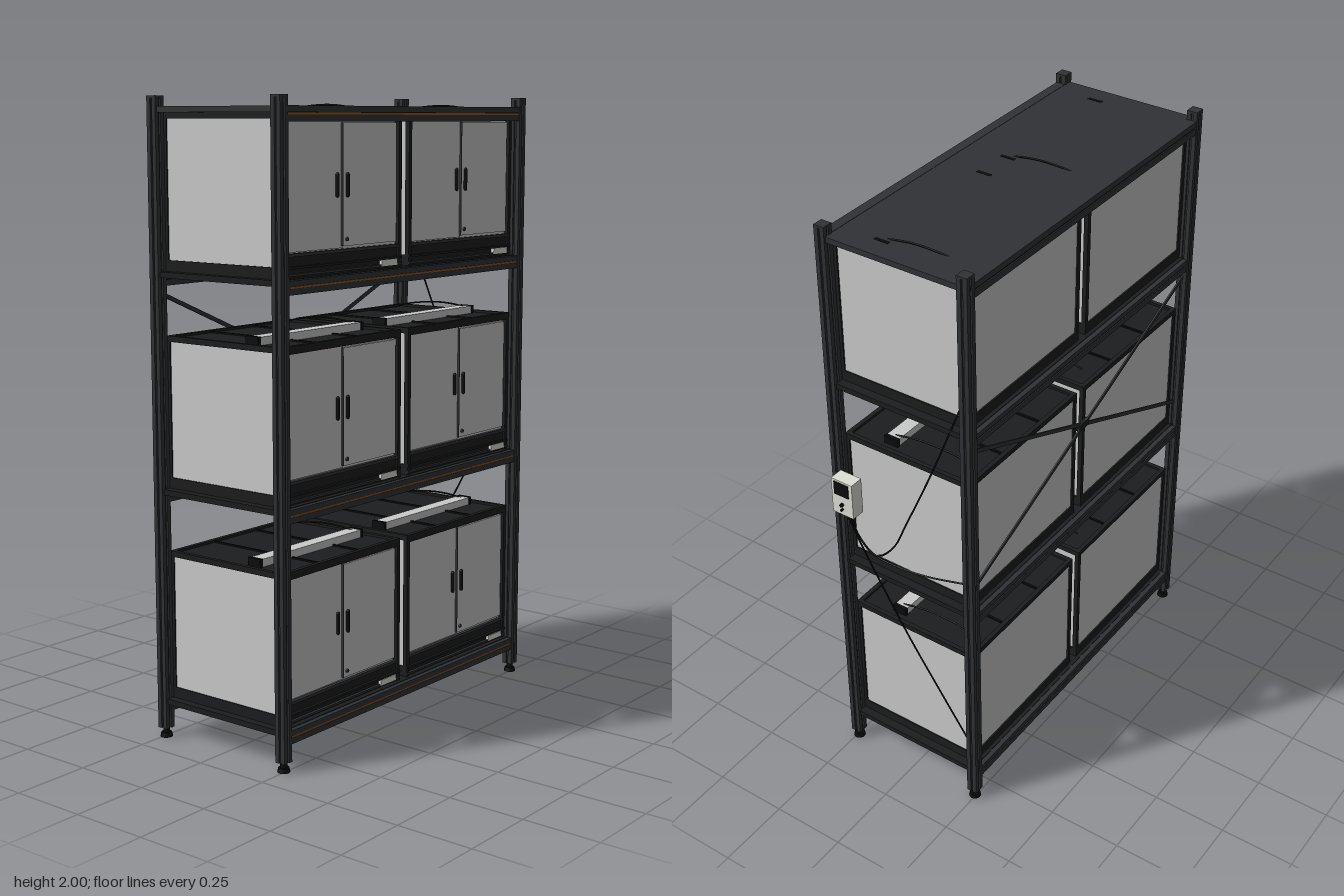
import * as THREE from 'three';

const mat = (color) => new THREE.MeshStandardMaterial({ color });
const FRAME = mat(0x303235), DARK = mat(0x1c1d1e), BLACK = mat(0x0c0c0c);
const GREY = mat(0xcccccc), PALE = mat(0xe0e0da), ORANGE = mat(0x9a5518);

const X0 = -0.646, X1 = 0.58, XM = (X0 + X1) / 2, ZP = 0.245, POST = 0.036;

function add(parent, name, geo, material, x = 0, y = 0, z = 0) {
  const m = new THREE.Mesh(geo, material);
  m.name = name;
  m.position.set(x, y, z);
  parent.add(m);
  return m;
}

// box given by its min and max on each axis
function box(parent, name, material, x0, x1, y0, y1, z0, z1) {
  return add(parent, name, new THREE.BoxGeometry(x1 - x0, y1 - y0, z1 - z0), material,
    (x0 + x1) / 2, (y0 + y1) / 2, (z0 + z1) / 2);
}

function cable(parent, name, points, r = 0.003) {
  const curve = new THREE.CatmullRomCurve3(points.map((p) => new THREE.Vector3(...p)));
  return add(parent, name, new THREE.TubeGeometry(curve, 40, r, 6), BLACK);
}

// square section with a slot in the middle of each side
function slottedGeometry(size, length) {
  const h = size / 2, s = size * 0.1, d = size * 0.16, shape = new THREE.Shape();
  const side = [[-h, -h], [-s, -h], [-s, -h + d], [s, -h + d], [s, -h]];
  for (let k = 0; k < 4; k++) {
    const c = Math.round(Math.cos(k * Math.PI / 2)), n = Math.round(Math.sin(k * Math.PI / 2));
    side.forEach(([x, y], i) => {
      const px = x * c - y * n, py = x * n + y * c;
      if (k + i === 0) shape.moveTo(px, py); else shape.lineTo(px, py);
    });
  }
  return new THREE.ExtrudeGeometry(shape, { depth: length, bevelEnabled: false });
}

function createPost(x, z) {
  const g = new THREE.Group();
  g.name = 'post';
  g.position.set(x, 0, z);
  add(g, 'upright', slottedGeometry(POST, 1.962), FRAME, 0, 0.03, 0).rotation.x = -Math.PI / 2;
  add(g, 'postCap', new THREE.BoxGeometry(POST, 0.008, POST), FRAME, 0, 1.996, 0);
  add(g, 'footPad', new THREE.CylinderGeometry(0.017, 0.02, 0.014, 20), BLACK, 0, 0.007, 0);
  add(g, 'footStem', new THREE.CylinderGeometry(0.011, 0.011, 0.02, 12), BLACK, 0, 0.022, 0);
  return g;
}

// shelf with front and back beams; y is the beam's underside
function createShelf(y, isTop) {
  const g = new THREE.Group(), h = isTop ? 0.046 : 0.042;
  g.name = 'shelf';
  for (const s of [-1, 1]) {
    const z = s * ZP;
    for (const [a, b] of [[0, 0.44], [0.58, 1]])
      box(g, 'beam', FRAME, X0 + 0.018, X1 - 0.018, y + h * a, y + h * b, z - 0.016, z + 0.016);
    box(g, 'beamCore', DARK, X0 + 0.018, X1 - 0.018, y + h * 0.4, y + h * 0.6, z - 0.012, z + 0.012);
  }
  box(g, 'beamInlay', ORANGE, X0 + 0.018, X1 - 0.018, y + h * 0.44, y + h * 0.56, ZP, ZP + 0.0145);
  if (isTop) box(g, 'topPanel', FRAME, -0.658, 0.592, 1.95, 1.968, -0.259, 0.255);
  else box(g, 'shelfPanel', DARK, X0 - 0.01, X1 + 0.01, y + 0.026, y + h + 0.002, -ZP, ZP);
  return g;
}

// glazed cabinet standing on y = 0
function createCabinet(w) {
  const g = new THREE.Group(), h = 0.475, d = 0.232, e = w / 2, t = 0.015;
  g.name = 'cabinet';
  box(g, 'walls', GREY, -e + 0.004, e - 0.004, 0.02, 0.458, -d + 0.005, d - 0.016);
  for (const sx of [-1, 1]) {
    for (const sz of [-1, 1])
      add(g, 'cornerTrim', new THREE.BoxGeometry(t, h, t), DARK, sx * (e - t / 2), h / 2, sz * (d - t / 2));
    add(g, 'sideSill', new THREE.BoxGeometry(t, 0.034, 2 * d), DARK, sx * (e - t / 2), 0.017, 0);
    add(g, 'sideRim', new THREE.BoxGeometry(t, 0.018, 2 * d), DARK, sx * (e - t / 2), h - 0.009, 0);
  }
  box(g, 'backSill', DARK, -e, e, 0, 0.034, -d, -d + t);
  box(g, 'backRim', DARK, -e, e, h - 0.018, h, -d, -d + t);
  box(g, 'frontRim', DARK, -e, e, h - 0.024, h, d - t, d);

  // stepped base below the doors
  box(g, 'baseBoard', DARK, -e + 0.01, e - 0.01, 0, 0.07, d - 0.03, d - 0.006);
  box(g, 'lowerRail', FRAME, -e, e, 0.006, 0.013, d - 0.01, d + 0.003);
  box(g, 'upperRail', DARK, -e, e, 0.027, 0.034, d - 0.01, d + 0.003);
  box(g, 'doorTrack', FRAME, -e + t, e - t, 0.062, 0.072, d - 0.012, d);
  box(g, 'basePlate', PALE, 0.183, 0.262, 0.008, 0.027, d - 0.006, d + 0.005);

  // sliding doors with handles and lock
  box(g, 'rearDoor', GREY, -e + t, 0.01, 0.074, h - 0.024, d - 0.018, d - 0.012);
  box(g, 'frontDoor', GREY, 0.006, e - t - 0.006, 0.08, h - 0.03, d - 0.011, d - 0.005);
  box(g, 'doorEdge', FRAME, 0.003, 0.006, 0.08, h - 0.03, d - 0.012, d - 0.005);
  for (const [s, z] of [[-1, d - 0.007], [1, d]])
    add(g, 'doorHandle', new THREE.CapsuleGeometry(0.006, 0.062, 4, 10), BLACK, s * 0.02, 0.262, z);
  add(g, 'doorLock', new THREE.CylinderGeometry(0.006, 0.006, 0.006, 14), FRAME, 0.02, 0.1, d - 0.003)
    .rotation.x = Math.PI / 2;

  // lid with dividers
  box(g, 'lid', DARK, -e + 0.01, e - 0.01, 0.455, 0.467, -d + 0.01, d - 0.01);
  for (const x of [-0.1, 0.1]) box(g, 'lidDivider', BLACK, x - 0.004, x + 0.004, 0.465, 0.472, -d + t, d - t);

  // lamp and its lead
  box(g, 'lamp', GREY, -0.24, 0.24, 0.467, 0.492, 0.062, 0.108);
  for (const s of [-1, 1])
    box(g, 'lampEnd', BLACK, s * 0.245 - 0.006, s * 0.245 + 0.006, 0.467, 0.494, 0.06, 0.11);
  cable(g, 'lampLead', [[0.227, 0.49, 0.085], [0.223, 0.497, 0.04], [0.218, 0.5, -0.01],
    [0.213, 0.497, -0.07], [0.208, 0.489, -0.13], [0.205, 0.478, -0.175]]);
  return g;
}

// crossed bars behind the middle cabinets
function createBrace() {
  const g = new THREE.Group(), dx = X1 - X0 - 0.02, dy = 0.51;
  g.name = 'backBrace';
  for (const s of [-1, 1])
    add(g, 'braceBar', new THREE.BoxGeometry(Math.hypot(dx, dy), 0.013, 0.005), FRAME, XM, 1.153, -0.246 + s * 0.003)
      .rotation.z = s * Math.atan2(dy, dx);
  add(g, 'braceJoint', new THREE.BoxGeometry(0.055, 0.024, 0.014), DARK, XM, 1.153, -0.245);
  return g;
}

// controller hung on the side, with three leads
function createController() {
  const g = new THREE.Group();
  g.name = 'controller';
  box(g, 'controllerCase', PALE, 0.608, 0.655, 1.045, 1.172, 0.14, 0.219);
  box(g, 'controllerBracket', FRAME, 0.59, 0.61, 1.09, 1.13, 0.165, 0.235);
  box(g, 'controllerScreen', BLACK, 0.65, 0.658, 1.118, 1.165, 0.153, 0.208);
  for (const [y, z, r] of [[1.085, 0.18, 0.006], [1.067, 0.18, 0.004]])
    add(g, 'controllerButton', new THREE.CylinderGeometry(r, r, 0.014, 12), BLACK, 0.657, y, z)
      .rotation.z = Math.PI / 2;
  cable(g, 'upperLead', [[0.63, 1.05, 0.175], [0.625, 0.95, 0.145], [0.62, 0.902, 0.09], [0.612, 0.95, 0.03],
    [0.605, 1.08, -0.03], [0.597, 1.28, -0.115], [0.583, 1.56, -0.222]]);
  cable(g, 'middleLead', [[0.625, 1.05, 0.185], [0.622, 0.96, 0.155], [0.617, 0.9, 0.1], [0.608, 0.883, 0.03],
    [0.597, 0.885, -0.08], [0.585, 0.913, -0.222]]);
  cable(g, 'lowerLead', [[0.635, 1.05, 0.19], [0.627, 0.93, 0.14], [0.617, 0.78, 0.07], [0.605, 0.6, -0.02],
    [0.595, 0.42, -0.125], [0.583, 0.25, -0.222]]);
  return g;
}

export function createModel() {
  const model = new THREE.Group();
  model.name = 'cabinetRack';
  for (const x of [X0, X1]) for (const z of [-ZP, ZP]) model.add(createPost(x, z));
  [0.084, 0.759, 1.431, 1.923].forEach((y, i) => model.add(createShelf(y, i === 3)));
  for (const y of [0.128, 0.803, 1.475]) {
    for (const x of [-0.341, 0.273]) {
      const c = createCabinet(0.576);
      c.position.set(x, y, 0);
      model.add(c);
    }
  }
  model.add(createBrace(), createController());
  return model;
}
